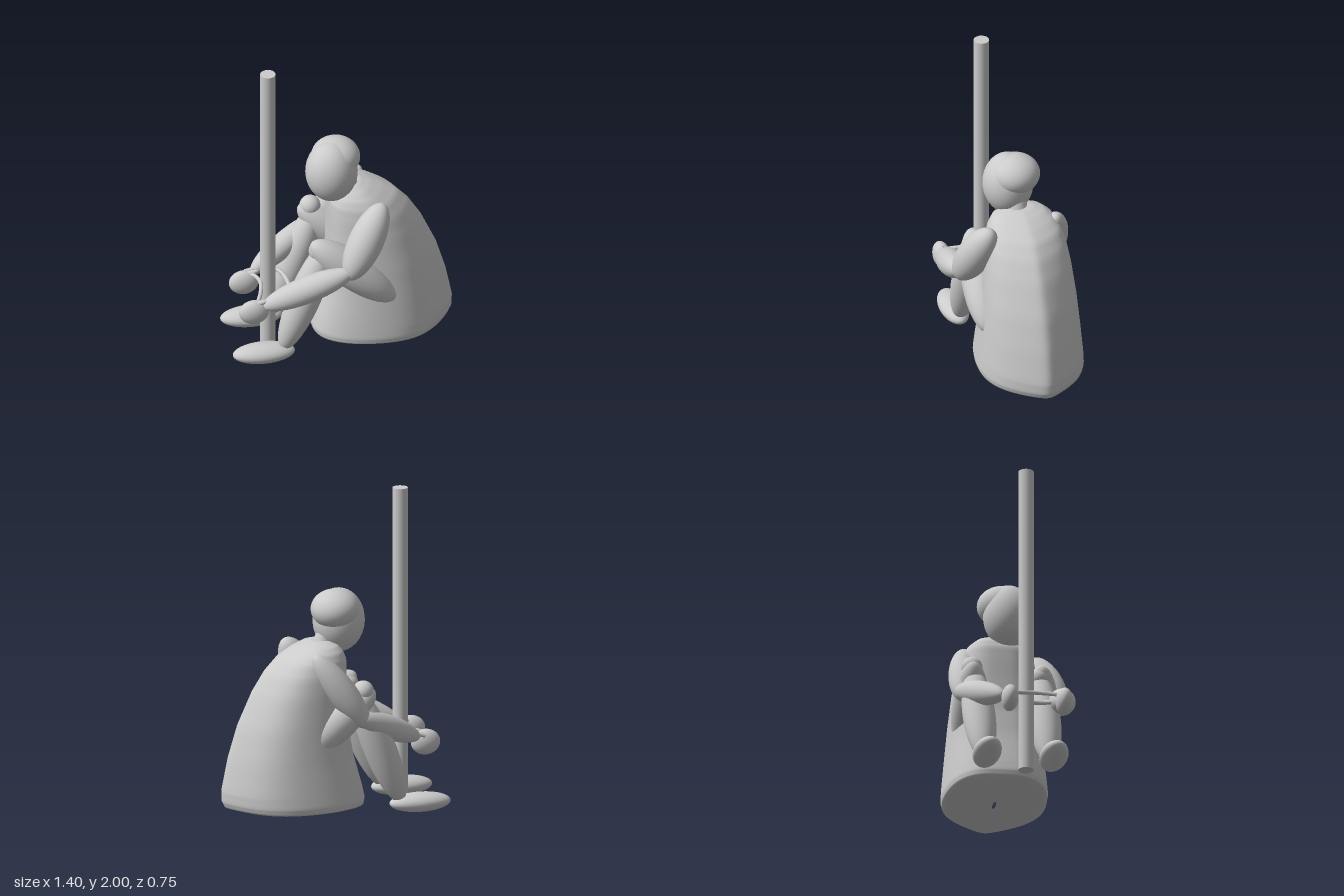
import * as THREE from 'three';

const material = new THREE.MeshStandardMaterial({ color: 0xcccccc });
const V = (p) => new THREE.Vector3(...p);

export function createModel() {
  const group = new THREE.Group();

  function add(name, geometry) {
    const mesh = new THREE.Mesh(geometry, material);
    mesh.name = name;
    group.add(mesh);
    return mesh;
  }

  function ellipsoid(name, center, radii) {
    const mesh = add(name, new THREE.SphereGeometry(1, 40, 28));
    mesh.position.set(...center);
    mesh.scale.set(...radii);
    return mesh;
  }

  // Spindle-shaped limb running from tip a to tip b
  function limb(name, a, b, radius) {
    const A = V(a), B = V(b), dir = B.clone().sub(A);
    const mesh = ellipsoid(name, A.clone().add(B).multiplyScalar(0.5).toArray(), [radius, dir.length() / 2, radius]);
    mesh.quaternion.setFromUnitVectors(new THREE.Vector3(0, 1, 0), dir.normalize());
    return mesh;
  }

  function tube(name, points, radius) {
    const curve = new THREE.CatmullRomCurve3(points.map(V));
    return add(name, new THREE.TubeGeometry(curve, 40, radius, 10));
  }

  // Robe: stacked sections [y, front x, back x, half width], flat in front and narrowed at the back
  function robe() {
    const keys = [
      [0.082, 0.2, 0.3, 0.01], [0.083, -0.13, 0.64, 0.29], [0.095, -0.175, 0.68, 0.317], [0.13, -0.18, 0.697, 0.323],
      [0.2, -0.165, 0.7, 0.318], [0.4, -0.11, 0.66, 0.3], [0.6, -0.075, 0.6, 0.283],
      [0.8, -0.07, 0.51, 0.263], [0.92, -0.07, 0.435, 0.245], [1.0, -0.068, 0.36, 0.222],
      [1.05, -0.05, 0.275, 0.19], [1.085, -0.02, 0.2, 0.145], [1.105, 0.02, 0.14, 0.08], [1.108, 0.07, 0.09, 0.005],
    ];
    const side = 64, steps = 4, pos = [], index = [];
    const mix = THREE.MathUtils.lerp;
    const rows = [];
    for (let k = 0; k < keys.length - 1; k++)
      for (let s = 0; s < steps; s++) rows.push(keys[k].map((v, i) => mix(v, keys[k + 1][i], s / steps)));
    rows.push(keys[keys.length - 1]);
    rows.forEach(([y, front, back, width], r) => {
      for (let i = 0; i < side; i++) {
        const a = (i / side) * Math.PI * 2, c = Math.cos(a), s = Math.sin(a);
        const w = c > 0 ? s * (1 - 0.5 * c ** 4) : Math.sign(s) * Math.abs(s) ** 0.65;
        pos.push((front + back) / 2 + (c * (back - front)) / 2, y, -0.053 + w * width);
        if (r) {
          const j = (i + 1) % side, lo = (r - 1) * side, hi = r * side;
          index.push(lo + i, hi + i, lo + j, lo + j, hi + i, hi + j);
        }
      }
    });
    const geometry = new THREE.BufferGeometry();
    geometry.setAttribute('position', new THREE.Float32BufferAttribute(pos, 3));
    geometry.setIndex(index);
    geometry.computeVertexNormals();
    return geometry;
  }
  add('robe', robe());

  // Post
  add('post', new THREE.CylinderGeometry(0.047, 0.047, 2, 32)).position.set(-0.455, 1, 0.042);

  // Head, cap of hair and neck
  ellipsoid('head', [-0.052, 1.212, -0.008], [0.16, 0.197, 0.155]);
  ellipsoid('hair', [-0.02, 1.29, -0.045], [0.15, 0.122, 0.152]);
  const neck = add('neck', new THREE.CylinderGeometry(0.062, 0.07, 0.2, 28));
  neck.position.set(0.05, 1.08, -0.035);
  neck.rotation.z = 0.35;

  // Arms
  limb('leftUpperArm', [0.235, 1.06, 0.18], [-0.01, 0.62, 0.315], 0.107);
  limb('leftForearm', [0.02, 0.68, 0.32], [-0.53, 0.45, 0.262], 0.083);
  limb('rightUpperArm', [0.17, 1.06, -0.25], [-0.155, 0.6, -0.305], 0.09);
  limb('rightForearm', [-0.08, 0.68, -0.33], [-0.53, 0.46, -0.11], 0.075);

  // Hands and thumbs
  for (const [side, z] of [['left', 0.258], ['right', -0.075]]) {
    ellipsoid(side + 'Hand', [-0.582, 0.42, z], [0.092, 0.08, 0.052]);
    limb(side + 'Thumb', [-0.6, 0.47, z], [-0.495, 0.5, z + 0.015], 0.016);
  }

  // Legs and feet
  for (const [side, s, knee] of [['left', 1, 0.165], ['right', -1, 0.235]]) {
    limb(side + 'Thigh', [0.3, 0.385, s * 0.215], [-0.21, 0.82, s * (knee + 0.01)], 0.115);
    limb(side + 'Shin', [-0.1, 0.82, s * knee], [-0.395, 0.085, s * 0.2], 0.1);
    ellipsoid(side + 'Foot', [-0.511, 0.081, s * 0.205], [0.192, 0.06, 0.086]);
  }
  ellipsoid('leftKnee', [-0.16, 0.755, 0.165], [0.065, 0.065, 0.065]);
  ellipsoid('rightKnee', [-0.14, 0.815, -0.245], [0.065, 0.065, 0.065]);

  // Cord looped round both sides of the post
  tube('cordNear', [[-0.57, 0.47, -0.11], [-0.52, 0.49, -0.02], [-0.505, 0.5, 0.07], [-0.525, 0.49, 0.17], [-0.56, 0.47, 0.25]], 0.013);
  tube('cordFar', [[-0.57, 0.47, -0.115], [-0.45, 0.5, -0.1], [-0.375, 0.51, -0.03], [-0.345, 0.51, 0.08], [-0.35, 0.51, 0.16], [-0.39, 0.5, 0.22]], 0.014);

  return group;
}
